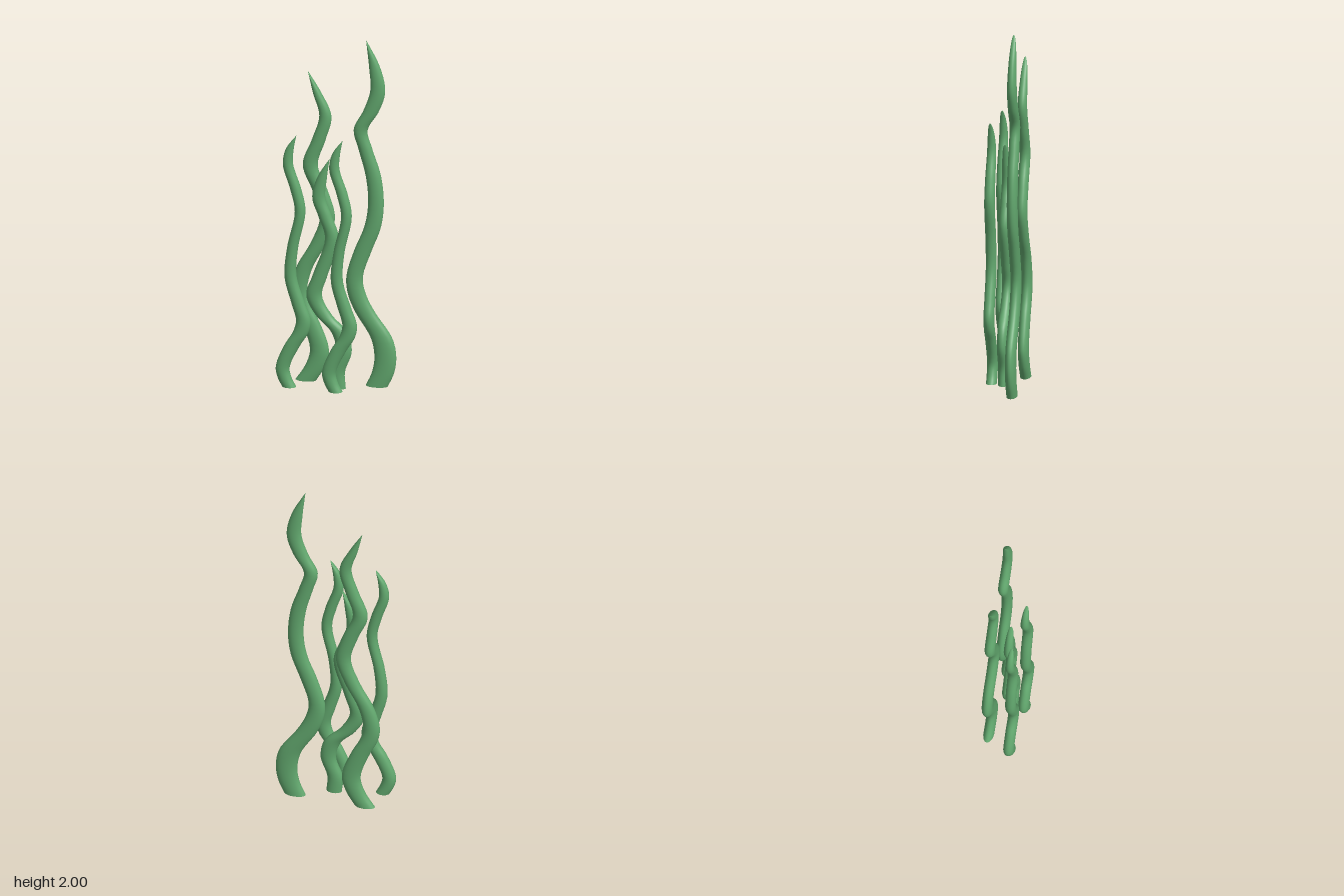
import * as THREE from 'three';

const SIDES = 20, RINGS = 72, THICK = 0.029;
const ANGLE = Math.atan(0.6); // every strand sways in a parallel upright plane
const C = Math.cos(ANGLE), S = Math.sin(ANGLE);

// Profiles: [height, sway in x, half width across the blade]
const SHORT = [
  [0.01, -0.021, 0.038], [0.06, -0.042, 0.038], [0.12, -0.051, 0.038], [0.25, -0.006, 0.042],
  [0.33, 0.034, 0.042], [0.4, 0.046, 0.04], [0.5, 0.021, 0.037], [0.65, -0.014, 0.033],
  [0.82, -0.004, 0.03], [1.03, 0.031, 0.029], [1.16, 0.01, 0.03], [1.3, -0.026, 0.028],
  [1.39, -0.017, 0.021], [1.47, 0.013, 0],
];
const TALL = [
  [0, 0.026, 0.06], [0.08, 0.055, 0.06], [0.17, 0.066, 0.06], [0.28, 0.048, 0.06],
  [0.42, -0.028, 0.055], [0.52, -0.067, 0.05], [0.62, -0.079, 0.045], [0.78, -0.039, 0.047],
  [0.92, 0.006, 0.045], [1.06, 0.022, 0.043], [1.22, 0.009, 0.042], [1.37, -0.028, 0.038],
  [1.48, -0.05, 0.038], [1.59, -0.002, 0.042], [1.71, 0.03, 0.041], [1.85, 0.015, 0.03],
  [2, -0.024, 0],
];
const BACK = [
  [0, -0.035, 0.056], [0.08, 0.007, 0.054], [0.18, 0.03, 0.052], [0.34, -0.014, 0.05],
  [0.44, -0.055, 0.048], [0.52, -0.068, 0.046], [0.65, -0.042, 0.044], [0.8, 0.025, 0.042],
  [0.95, 0.067, 0.041], [1.1, 0.034, 0.042], [1.25, -0.014, 0.041], [1.4, 0.026, 0.037],
  [1.54, 0.057, 0.033], [1.67, 0.019, 0.023], [1.79, -0.024, 0],
];
const MIDDLE = [
  [0.005, 0.044, 0.043], [0.1, 0.04, 0.043], [0.22, 0.072, 0.043], [0.33, 0.05, 0.045],
  [0.42, -0.022, 0.045], [0.53, -0.068, 0.043], [0.65, -0.04, 0.04], [0.87, 0.015, 0.037],
  [1, -0.018, 0.037], [1.1, -0.046, 0.036], [1.22, -0.03, 0.026], [1.33, 0.004, 0],
];

// Oval horizontal sections lofted along the swaying centre line
function strandGeometry(profile) {
  const curve = new THREE.CatmullRomCurve3(profile.map(([y, x, w]) => new THREE.Vector3(x, y, w)));
  const base = profile[0][0], top = profile[profile.length - 1][0];
  const pos = [], index = [];
  const ring = (x, y, a, b) => {
    for (let j = 0; j < SIDES; j++) {
      const t = (j / SIDES) * Math.PI * 2, u = a * Math.cos(t), v = b * Math.sin(t);
      pos.push(x + C * u - S * v, y, (x * S) / C + S * u + C * v);
    }
  };
  for (let i = 0; i <= RINGS; i++) {
    const s = 1 - Math.pow(1 - i / RINGS, 1.3); // closer rings toward the tip
    const p = curve.getPoint(s);
    const t = Math.min(1, (p.y - base) / (top - base));
    ring(p.x, p.y, Math.max(p.z, 0.0005), THICK * Math.sqrt(Math.max(0.0004, 1 - Math.pow(t, 10))));
    if (i === RINGS) continue;
    for (let j = 0; j < SIDES; j++) {
      const k = (j + 1) % SIDES, a = i * SIDES, b = a + SIDES;
      index.push(a + j, b + j, a + k, a + k, b + j, b + k);
    }
  }
  // flat foot and closed tip
  const cap = (x, y, a, b, down) => {
    const start = pos.length / 3;
    ring(x, y, a, b);
    for (let j = 1; j < SIDES - 1; j++) {
      index.push(start, start + (down ? j : j + 1), start + (down ? j + 1 : j));
    }
  };
  cap(profile[0][1], base, profile[0][2], THICK, true);
  cap(profile[profile.length - 1][1], top, 0.0005, THICK * 0.02, false);
  const g = new THREE.BufferGeometry();
  g.setAttribute('position', new THREE.Float32BufferAttribute(pos, 3));
  g.setIndex(index);
  g.computeVertexNormals();
  return g;
}

export function createModel() {
  const group = new THREE.Group();
  group.name = 'seaweed';
  const green = new THREE.MeshStandardMaterial({ color: 0x62a86e });
  green.name = 'seaweed green';

  const strands = [
    ['rightStrand', SHORT, -0.224, -0.033],
    ['frontStrand', SHORT, -0.013, 0.117],
    ['backStrand', BACK, -0.087, -0.106],
    ['middleStrand', MIDDLE, -0.044, 0.022],
    ['tallLeftStrand', TALL, 0.184, 0.064],
  ];
  for (const [name, profile, x, z] of strands) {
    const mesh = new THREE.Mesh(strandGeometry(profile), green);
    mesh.name = name;
    mesh.position.set(x, 0, z);
    group.add(mesh);
  }
  return group;
}
